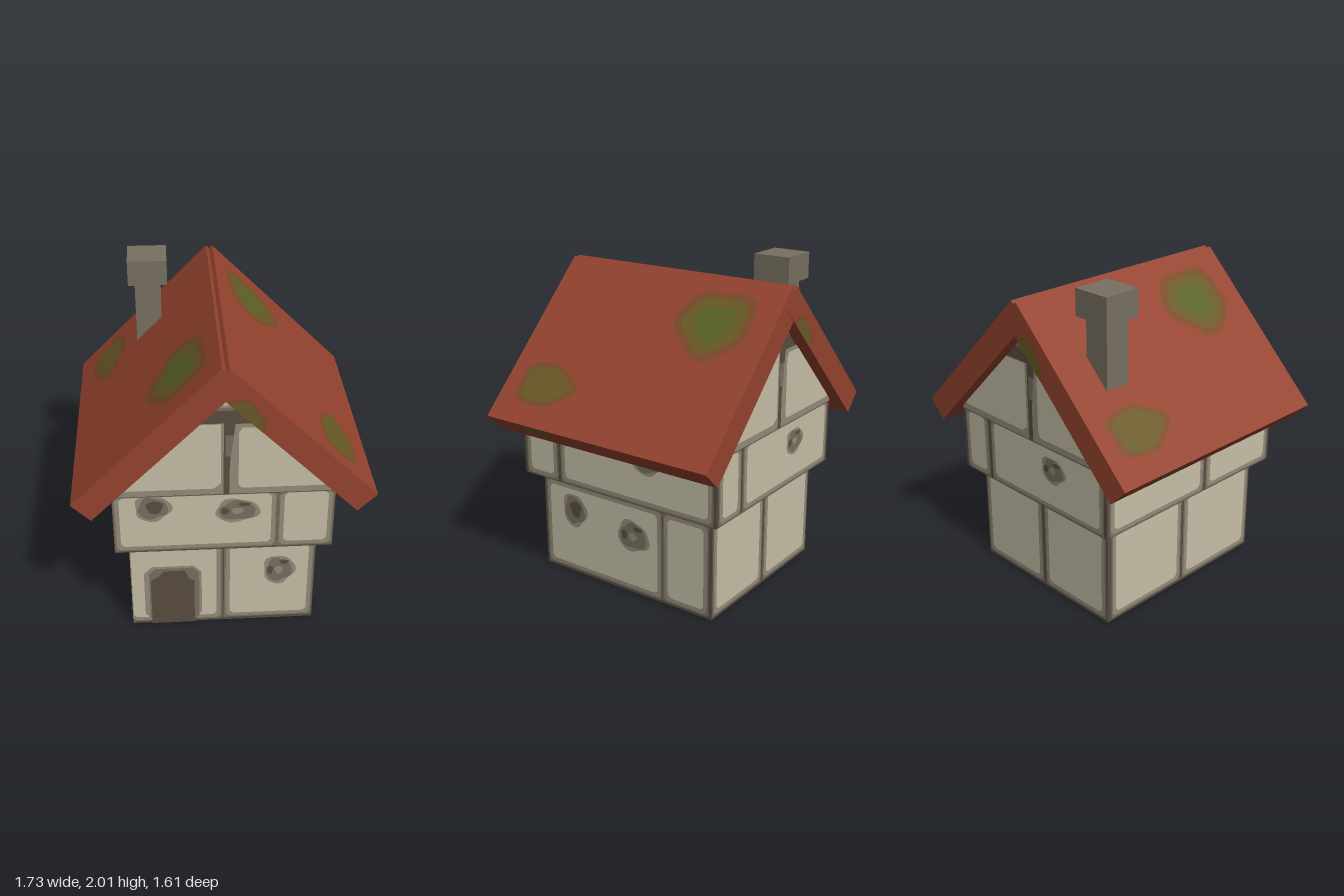
import * as THREE from 'three';

const mat = (name, color, side = THREE.FrontSide) => {
  const m = new THREE.MeshStandardMaterial({ color, side });
  m.name = name;
  return m;
};
const cream = mat('creamStone', 0xc6bfa7);
const light = mat('wornStoneEdge', 0x958c79);
const mid = mat('greyStone', 0x777062);
const dark = mat('darkMortar', 0x594c40);
const red = mat('redRoof', 0x96432f);
const mossOuter = mat('brownMoss', 0x7a4b27);
const mossMiddle = mat('oliveMoss', 0x695a26);
const mossInner = mat('greenMoss', 0x586324);

function mesh(parent, name, geometry, material, x = 0, y = 0, z = 0) {
  const m = new THREE.Mesh(geometry, material);
  m.name = name;
  m.position.set(x, y, z);
  parent.add(m);
  return m;
}
const box = (parent, name, material, w, h, d, x, y, z) =>
  mesh(parent, name, new THREE.BoxGeometry(w, h, d), material, x, y, z);

const polygon = (pts) => new THREE.Shape(pts.map(([x, y]) => new THREE.Vector2(x, y)));

// Rectangle with cut corners
function slabShape(x0, y0, x1, y1, c = 0.02) {
  return polygon([[x0 + c, y0], [x1 - c, y0], [x1, y0 + c], [x1, y1 - c],
    [x1 - c, y1], [x0 + c, y1], [x0, y1 - c], [x0, y0 + c]]);
}

// Uneven round patch, optionally cut off at a lower and upper limit
function blob(cx, cy, rx, ry, seed = 0, lo = -9, hi = 9) {
  const pts = [];
  for (let i = 0; i < 24; i++) {
    const a = (i / 24) * Math.PI * 2;
    const r = 0.92 + 0.07 * Math.sin(3 * a + seed) + 0.05 * Math.sin(5 * a + seed * 2);
    pts.push([cx + rx * r * Math.cos(a), Math.min(hi, Math.max(lo, cy + ry * r * Math.sin(a)))]);
  }
  return polygon(pts);
}

// Thin painted layers, each just above the one before
const LAYERS = [['stoneRims', mid], ['stoneEdges', light], ['stoneFaces', cream],
  ['detailRims', light], ['pits', mid], ['darkPatches', dark], ['pitCentres', light]];
function paint(parent, layers) {
  layers.forEach((shapes, i) => {
    if (shapes.length) mesh(parent, LAYERS[i][0], new THREE.ShapeGeometry(shapes), LAYERS[i][1], 0, 0, 0.0015 + i * 0.0012);
  });
}

// One wall face: stones are [x0, y0, x1, y1], pits are [x, y, rx, ry, darkCentre]
function wallFace(parent, name, halfWidth, yMin, yMax, stones, pits = [], door = false) {
  const g = new THREE.Group();
  g.name = name;
  parent.add(g);
  const L = LAYERS.map(() => []);
  const cx = (v) => THREE.MathUtils.clamp(v, -halfWidth, halfWidth);
  const cy = (v) => THREE.MathUtils.clamp(v, yMin, yMax);
  for (const [x0, y0, x1, y1] of stones) {
    [0, 0.011, 0.036].forEach((d, i) =>
      L[i].push(slabShape(cx(x0 + d), cy(y0 + d), cx(x1 - d), cy(y1 - d), i ? 0.02 : 0.006)));
  }
  pits.forEach(([x, y, rx, ry, darkCentre], i) => {
    L[3].push(blob(x, y, rx, ry, i + 1, yMin, yMax));
    L[4].push(blob(x, y, rx * 0.82, ry * 0.82, i + 2, yMin, yMax));
    if (darkCentre) L[5].push(blob(x + rx * 0.1, y + ry * 0.1, rx * 0.45, ry * 0.5, i));
    else {
      L[5].push(blob(x - rx * 0.5, y, rx * 0.18, ry * 0.3, i), blob(x + rx * 0.3, y + ry * 0.5, rx * 0.28, ry * 0.16, i));
      L[6].push(blob(x, y, rx * 0.26, ry * 0.28, i));
    }
  });
  if (door) {
    L[3].push(slabShape(-0.48, 0.03, -0.13, 0.455, 0.05));
    L[4].push(slabShape(-0.45, 0.01, -0.145, 0.44, 0.04));
    L[5].push(polygon([[-0.44, 0], [-0.175, 0], [-0.175, 0.34], [-0.21, 0.36], [-0.23, 0.42], [-0.36, 0.42], [-0.39, 0.38], [-0.44, 0.35]]));
  }
  paint(g, L);
  return g;
}

function createRoofSide(name, depth) {
  const side = new THREE.Group();
  side.name = name;
  const slab = new THREE.Group();
  slab.name = 'roofSlab';
  slab.position.set(0.3875, 1.4275, 0);
  slab.rotation.z = -Math.PI / 4;
  side.add(slab);
  box(slab, 'roofBoard', red, 1.195, 0.156, depth, 0, 0, 0);

  // Moss patches in three shades, on the slope, the gable end and the eave
  const moss = [[mossOuter, 1], [mossMiddle, 0.8], [mossInner, 0.5]];
  moss.forEach(([m, s], i) => {
    const up = 0.0015 + i * 0.0015;
    const top = mesh(slab, 'slopeMoss', new THREE.ShapeGeometry([
      blob(-0.286, 0.42, 0.25 * s, 0.275 * s, 1),
      ...(i < 2 ? [blob(0.315, -0.5, 0.165 * s, 0.235 * s, 3)] : []),
    ]), m, 0, 0.078 + up, 0);
    top.rotation.x = -Math.PI / 2;
    if (i < 2) {
      mesh(slab, 'gableEndMoss', new THREE.ShapeGeometry(
        blob(-0.325, -0.06, 0.15 * s, 0.075 * s, 2, -0.078, 0.078)), m, 0, 0, depth / 2 + up);
      const eave = mesh(slab, 'eaveMoss', new THREE.ShapeGeometry(
        blob(-0.43, 0.04, 0.18 * s, 0.05 * s, 1, -0.078, 0.078)), m, 0.5975 + up, 0, 0);
      eave.rotation.y = Math.PI / 2;
    }
  });
  return side;
}

export function createModel() {
  const house = new THREE.Group();
  house.name = 'cottage';

  // Two stacked storeys
  box(house, 'lowerStorey', dark, 1.12, 0.64, 1.28, 0, 0.32, 0);
  box(house, 'upperStorey', dark, 1.28, 0.4, 1.44, 0, 0.84, 0);

  const place = (g, x, z, turn) => {
    g.position.set(x, 0, z);
    g.rotation.y = turn;
  };
  const Q = Math.PI / 2;

  // Lower walls
  place(wallFace(house, 'lowerFrontWall', 0.56, 0, 0.64,
    [[-0.59, 0.015, -0.003, 0.625], [0.006, 0.02, 0.555, 0.625]],
    [[0.34, 0.4, 0.105, 0.12, false]], true), 0, 0.64, 0);
  place(wallFace(house, 'lowerLeftWall', 0.64, 0, 0.64,
    [[-0.625, 0.015, 0.288, 0.605], [0.292, 0.015, 0.62, 0.605]],
    [[-0.39, 0.43, 0.105, 0.12, true], [0.07, 0.38, 0.13, 0.11, false]]), 0.56, 0, Q);
  place(wallFace(house, 'lowerBackWall', 0.56, 0, 0.64,
    [[-0.55, 0.015, -0.01, 0.625], [0.01, 0.015, 0.55, 0.625]]), 0, -0.64, 2 * Q);
  place(wallFace(house, 'lowerRightWall', 0.64, 0, 0.64,
    [[-0.61, 0.015, -0.01, 0.62], [0.01, 0.015, 0.63, 0.62]]), -0.56, 0, -Q);

  // Upper walls
  place(wallFace(house, 'upperFrontWall', 0.64, 0.64, 1.04,
    [[-0.637, 0.65, 0.309, 1.075], [0.311, 0.65, 0.637, 1.075]],
    [[-0.41, 0.96, 0.115, 0.1, true], [0.075, 0.925, 0.14, 0.09, false]]), 0, 0.72, 0);
  const sideStones = (w) => [[-w + 0.02, 0.645, -0.6 * w - 0.01, 1.075], [-0.6 * w + 0.01, 0.645, w - 0.02, 1.075]];
  place(wallFace(house, 'upperLeftWall', 0.72, 0.64, 1.04, sideStones(0.72),
    [[0.24, 0.93, 0.12, 0.09, false]]), 0.64, 0, Q);
  place(wallFace(house, 'upperBackWall', 0.64, 0.64, 1.04, sideStones(0.64),
    [[0.2, 0.91, 0.11, 0.09, false]]), 0, -0.72, 2 * Q);
  place(wallFace(house, 'upperRightWall', 0.72, 0.64, 1.04,
    [[-0.7, 0.645, 0.09, 1.075], [0.11, 0.645, 0.7, 1.075]]), -0.64, 0, -Q);

  // Stone underside
  const floor = wallFace(house, 'underside', 0.56, -0.64, 0.64,
    [[-0.53, -0.6, -0.02, -0.03], [0.02, -0.6, 0.53, -0.03], [-0.53, 0.03, -0.22, 0.6], [-0.18, 0.03, 0.53, 0.6]],
    [[0.12, 0.4, 0.12, 0.1, false]]);
  floor.rotation.x = Q;

  // Gable prism with painted stones at both ends
  const gable = new THREE.ExtrudeGeometry(
    polygon([[-0.64, 1.04], [0.64, 1.04], [0.64, 1.06], [0, 1.7]]), { depth: 1.44, bevelEnabled: false });
  mesh(house, 'gable', gable, dark, 0, 0, -0.72);
  for (const turn of [0, Math.PI]) {
    const g = new THREE.Group();
    g.name = turn ? 'backGableStones' : 'frontGableStones';
    place(g, 0, turn ? -0.72 : 0.72, turn);
    house.add(g);
    paint(g, [
      [polygon([[-0.1, 1.6], [0.1, 1.6], [0, 1.7]]), polygon([[0.005, 1.3], [0.06, 1.3], [0.06, 1.44], [0.005, 1.44]])],
      [polygon([[-0.64, 1.045], [-0.004, 1.045], [-0.004, 1.52], [-0.18, 1.52], [-0.64, 1.06]]),
        polygon([[0.03, 1.045], [0.64, 1.045], [0.64, 1.06], [0.185, 1.515], [0.06, 1.515], [0.03, 1.25]]),
        polygon([[-0.08, 1.62], [0.08, 1.62], [0, 1.7]])],
      [polygon([[-0.6, 1.085], [-0.06, 1.085], [-0.02, 1.12], [-0.02, 1.515], [-0.185, 1.515], [-0.605, 1.095]]),
        polygon([[0.1, 1.085], [0.6, 1.085], [0.605, 1.095], [0.21, 1.49], [0.1, 1.49], [0.08, 1.46], [0.08, 1.11]]),
        polygon([[-0.06, 1.635], [0.06, 1.635], [0, 1.695]])],
    ]);
  }

  // Roof: one side, and the same turned half round
  house.add(createRoofSide('leftRoofSide', 1.6));
  const other = createRoofSide('rightRoofSide', 1.606);
  other.rotation.y = Math.PI;
  house.add(other);

  // Chimney
  box(house, 'chimneyShaft', mid, 0.16, 0.44, 0.16, -0.4, 1.62, -0.48);
  box(house, 'chimneyCap', mid, 0.24, 0.16, 0.24, -0.4, 1.92, -0.48);
  return house;
}
